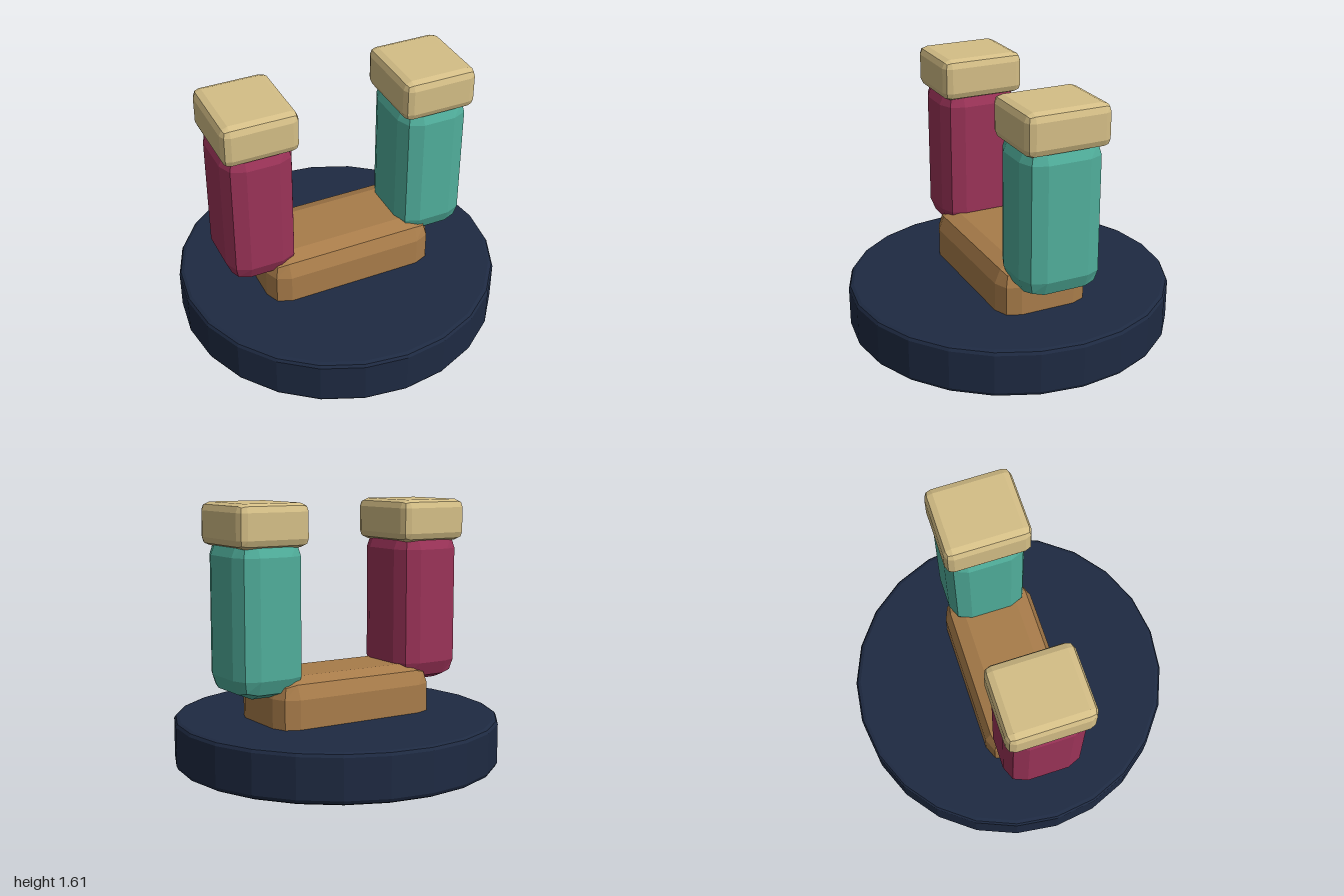
import * as THREE from 'three';
import { RoundedBoxGeometry } from 'three/addons/geometries/RoundedBoxGeometry.js';

const material = (color) => new THREE.MeshStandardMaterial({ color, flatShading: true });

export function createModel() {
  const model = new THREE.Group();
  const navy = material(0x1e2a42);
  const brown = material(0xa87c4a);
  const crimson = material(0x9b3358);
  const teal = material(0x50ae9b);
  const sand = material(0xd4be86);

  // Box with two-facet bevels, placed by its bottom and top heights
  function bevelledBox(name, mat, x, bottom, top, width, depth, bevel) {
    const geometry = new RoundedBoxGeometry(width, top - bottom, depth, 1, bevel);
    const mesh = new THREE.Mesh(geometry, mat);
    mesh.name = name;
    mesh.position.set(x, (bottom + top) / 2, 0);
    model.add(mesh);
  }

  // Round 24-sided base with a softened rim
  const rim = [
    [0, 0], [0.97, 0], [0.99, 0.01], [1, 0.03],
    [1, 0.27], [0.99, 0.287], [0.97, 0.295], [0, 0.295],
  ].map(([r, y]) => new THREE.Vector2(r, y));
  const base = new THREE.Mesh(new THREE.LatheGeometry(rim, 24), navy);
  base.name = 'base';
  model.add(base);

  // Crossbar, its lower bevel sunk into the base
  bevelledBox('crossbar', brown, 0, 0.15, 0.59, 1.09, 0.58, 0.12);

  // Two pillars, each topped by a cap that covers the pillar's upper bevel
  for (const [side, x, mat] of [['left', 0.56, teal], ['right', -0.56, crimson]]) {
    bevelledBox(side + 'Pillar', mat, x, 0.475, 1.42, 0.44, 0.5, 0.12);
    bevelledBox(side + 'Cap', sand, x, 1.35, 1.605, 0.465, 0.525, 0.05);
  }

  return model;
}
